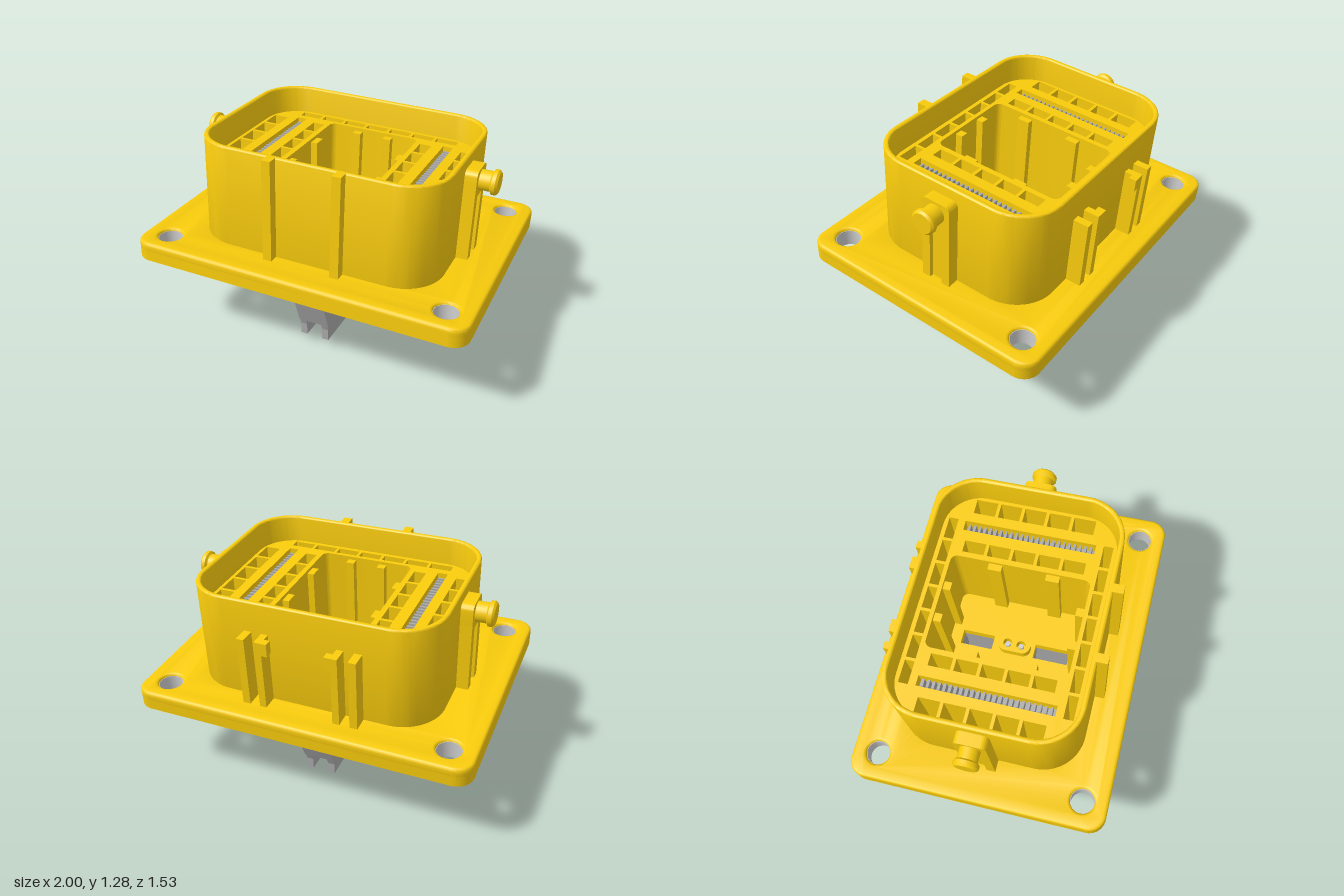
import * as THREE from 'three';
import { toCreasedNormals } from 'three/addons/utils/BufferGeometryUtils.js';

const yellow = new THREE.MeshStandardMaterial({ color: 0xf8cb0c });
const grey = new THREE.MeshStandardMaterial({ color: 0xaaaaaa });
const metal = new THREE.MeshStandardMaterial({ color: 0xcccccc });

// Rounded rectangle by half sizes, drawn in x and z
function rounded(w, d, r, Type = THREE.Shape) {
  const s = new Type();
  s.moveTo(w, -d + r);
  s.lineTo(w, d - r);
  s.absarc(w - r, d - r, r, 0, Math.PI / 2);
  s.lineTo(-w + r, d);
  s.absarc(-w + r, d - r, r, Math.PI / 2, Math.PI);
  s.lineTo(-w, -d + r);
  s.absarc(-w + r, -d + r, r, Math.PI, Math.PI * 1.5);
  s.lineTo(w - r, -d);
  s.absarc(w - r, -d + r, r, Math.PI * 1.5, Math.PI * 2);
  return s;
}
const hole = (w, d, r) => rounded(w, d, r, THREE.Path);

// Rectangular hole by centre and half sizes
function rectHole(x, z, w, d) {
  const pts = [[x - w, z - d], [x - w, z + d], [x + w, z + d], [x + w, z - d], [x - w, z - d]];
  return new THREE.Path(pts.map(p => new THREE.Vector2(...p)));
}
function roundHole(x, z, r) {
  return new THREE.Path().absarc(x, z, r, 0, Math.PI * 2, true);
}

export function createModel() {
  const model = new THREE.Group();
  // The whole unit leans back a little
  const body = new THREE.Group();
  body.name = 'leaningBody';
  body.rotation.x = -0.0736;
  body.position.z = 0.046;
  model.add(body);

  function add(name, geo, mat, x = 0, y = 0, z = 0) {
    const m = new THREE.Mesh(geo, mat);
    m.name = name;
    m.position.set(x, y, z);
    body.add(m);
    return m;
  }
  // Horizontal slab from an outline with holes
  function slab(name, shape, holes, y0, y1, mat, bevel = 0) {
    shape.holes.push(...holes);
    const g = new THREE.ExtrudeGeometry(shape, {
      depth: y1 - y0 - 2 * bevel, curveSegments: 12, bevelEnabled: bevel > 0,
      bevelThickness: bevel, bevelSize: bevel, bevelOffset: -bevel, bevelSegments: 3,
    });
    g.rotateX(Math.PI / 2);
    return add(name, toCreasedNormals(g, 0.6), mat, 0, y1 - bevel, 0);
  }
  const block = (name, x0, x1, y0, y1, z0, z1, mat) => add(name,
    new THREE.BoxGeometry(x1 - x0, y1 - y0, z1 - z0), mat, (x0 + x1) / 2, (y0 + y1) / 2, (z0 + z1) / 2);
  // Upright plate from a z-y outline, with thickness along x
  function plate(name, pts, x0, x1, mat) {
    const g = new THREE.ExtrudeGeometry(new THREE.Shape(pts.map(p => new THREE.Vector2(...p))),
      { depth: x1 - x0, bevelEnabled: false });
    g.rotateY(-Math.PI / 2);
    return add(name, g, mat, x1);
  }
  const cylinder = (name, r, h, mat, x, y, z) => add(name, new THREE.CylinderGeometry(r, r, h, 32), mat, x, y, z);

  const corners = [[1, 1], [1, -1], [-1, 1], [-1, -1]].map(([a, b]) => [a * 0.845, b * 0.612]);
  const boltHoles = corners.map(([x, z]) => roundHole(x, z, 0.07));

  // Mounting flange with a hollow underside
  slab('flangePlate', rounded(1, 0.762, 0.1), [hole(0.7, 0.517, 0.22), ...boltHoles], 0.57, 0.635, yellow, 0.018);
  slab('flangeRim', rounded(1, 0.762, 0.1), [hole(0.965, 0.728, 0.07)], 0.524, 0.61, yellow);
  slab('outerSealWall', rounded(0.88, 0.64, 0.33), [hole(0.845, 0.605, 0.31)], 0.524, 0.59, yellow);
  slab('seal', rounded(0.84, 0.6, 0.31), [hole(0.805, 0.565, 0.28)], 0.512, 0.585, grey);
  slab('innerSealWall', rounded(0.8, 0.56, 0.27), [hole(0.77, 0.535, 0.25)], 0.524, 0.59, yellow);
  for (const [x, z] of corners) {
    const ring = new THREE.Shape().absarc(x, z, 0.1, 0, Math.PI * 2);
    slab('boltBoss', ring, [roundHole(x, z, 0.08)], 0.524, 0.59, yellow);
    const bush = new THREE.Shape().absarc(x, z, 0.085, 0, Math.PI * 2);
    slab('boltBushing', bush, [roundHole(x, z, 0.068)], 0.518, 0.62, metal);
  }
  for (const s of [-1, 1]) {
    for (const x of [-0.6, -0.3, 0, 0.3, 0.6]) {
      block('flangeRib', x - 0.025, x + 0.025, 0.526, 0.59, s * 0.685 - 0.06, s * 0.685 + 0.06, yellow);
    }
    for (const z of [-0.37, 0, 0.37]) {
      block('flangeRib', s * 0.92 - 0.06, s * 0.92 + 0.06, 0.526, 0.59, z - 0.025, z + 0.025, yellow);
    }
  }

  // Open shell
  slab('shell', rounded(0.73, 0.55, 0.25), [hole(0.7, 0.52, 0.22)], 0.6, 1.242, yellow, 0.01);

  for (const s of [-1, 1]) {
    const span = (name, a, b, ...rest) => block(name, Math.min(s * a, s * b), Math.max(s * a, s * b), ...rest);
    // Front and back guide ribs
    span('frontRib', 0.178, 0.23, 0.61, 1.242, 0.53, 0.607, yellow);
    span('backOuterRib', 0.3, 0.345, 0.61, 1.058, -0.64, -0.53, yellow);
    span('backInnerRib', 0.2, 0.24, 0.61, 1.058, -0.64, -0.53, yellow);
    span('backRibHook', 0.165, 0.21, 0.98, 1.058, -0.64, -0.595, yellow);

    // Side pillar with locking pin
    for (const z of [-0.065, 0.065]) span('pillarRib', 0.71, 0.8, 0.61, 1.12, z - 0.026, z + 0.026, yellow);
    span('pillarWeb', 0.71, 0.775, 0.61, 1.04, -0.045, 0.045, yellow);
    const capGeo = new THREE.ExtrudeGeometry(rounded(0.091, 0.08, 0.035), { depth: 0.09, bevelEnabled: false });
    capGeo.rotateY(Math.PI / 2);
    add('pillarCap', toCreasedNormals(capGeo, 0.6), yellow, s > 0 ? 0.71 : -0.8, 1.098, 0);
    const pinProfile = [[0, 0.75], [0.058, 0.75], [0.058, 0.862], [0.072, 0.872], [0.072, 0.893], [0.06, 0.905], [0, 0.905]];
    const pin = new THREE.LatheGeometry(pinProfile.map(p => new THREE.Vector2(...p)), 32);
    add('lockingPin', toCreasedNormals(pin, 0.5), yellow, 0, 1.105, 0).rotation.z = -s * Math.PI / 2;
  }

  // Insert with a central well and rows of pockets between thin walls
  const pockets = [hole(0.29, 0.41, 0.04)];
  for (const s of [-1, 1]) {
    pockets.push(rectHole(s * 0.49, 0, 0.03, 0.39));
    for (let i = -2; i <= 2; i++) {
      pockets.push(rectHole(s * 0.625, i * 0.147, 0.045, 0.064));
      pockets.push(rectHole(s * 0.358, i * 0.147, 0.036, 0.064));
    }
    for (let i = -3; i <= 3; i++) pockets.push(rectHole(i * 0.152, s * 0.462, 0.067, 0.028));
  }
  slab('insert', rounded(0.69, 0.515, 0.215), pockets, 0.5, 1.08, yellow);

  // Central slots pass through the floor
  const slots = () => [rectHole(0, -0.24, 0.045, 0.1), rectHole(0, 0.23, 0.045, 0.107)];
  slab('wellFloor', rounded(0.3, 0.42, 0.04), slots(), 0.49, 0.545, yellow);
  slab('screwBoss', rounded(0.05, 0.1, 0.049), [roundHole(0, -0.042, 0.028), roundHole(0, 0.042, 0.028)], 0.54, 0.6, yellow);
  for (const z of [-0.042, 0.042]) cylinder('screw', 0.016, 0.05, metal, 0, 0.56, z);
  for (const s of [-1, 1]) {
    for (const z of [-0.15, 0.19]) block('wellGuide', s * 0.275 - 0.025, s * 0.275 + 0.025, 0.5, 1.06, z - 0.04, z + 0.04, yellow);
    for (const z of [-0.39, 0.39]) block('wellKey', s * 0.1 - 0.025, s * 0.1 + 0.025, 0.5, 1.06, z - 0.025, z + 0.025, yellow);
    // Contact strips
    block('contactStrip', s * 0.49 - 0.031, s * 0.49 + 0.031, 0.6, 1.0, -0.39, 0.39, grey);
    for (let i = 0; i < 24; i++) {
      const z = -0.362 + i * 0.0315;
      block('contact', s * 0.49 - 0.022, s * 0.49 + 0.022, 0.99, 1.06, z - 0.007, z + 0.007, grey);
    }
  }

  // Lower housing, hollow underneath
  slab('housing', rounded(0.725, 0.515, 0.21), [hole(0.53, 0.375, 0.03)], 0.327, 0.535, grey, 0.015);
  slab('housingFloor', rounded(0.6, 0.45, 0.05), slots(), 0.425, 0.49, grey);
  slab('recessFrame', rounded(0.5, 0.365, 0.05), [hole(0.475, 0.34, 0.04)], 0.312, 0.43, grey);
  for (const s of [-1, 1]) {
    block('yellowLip', s * 0.521 - 0.008, s * 0.521 + 0.008, 0.316, 0.43, -0.37, 0.37, yellow);
    cylinder('post', 0.058, 0.43, metal, s * 0.275, 0.218, 0);
  }

  // Keel: twin cheeks closed at both ends, joined by a core in the middle
  const cheek = [[0.488, 0.32], [0.488, 0.43], [-0.494, 0.43], [-0.494, 0.324], [-0.405, 0.107], [-0.405, 0.036], [0.403, 0.042], [0.408, 0.117]];
  for (const s of [-1, 1]) {
    plate('keelCheek', cheek, s * 0.07 - 0.02, s * 0.07 + 0.02, grey);
    block('keelPad', s * 0.0575 - 0.0375, s * 0.0575 + 0.0375, 0.025, 0.08, -0.07, 0.07, grey);
    block('keelPadSide', s * 0.09 - 0.01, s * 0.09 + 0.01, 0.03, 0.16, -0.07, 0.07, grey);
  }
  plate('keelFrontEnd', [[0.488, 0.32], [0.42, 0.15], [0.36, 0.15], [0.34, 0.43], [0.488, 0.43]], -0.095, 0.095, grey);
  plate('keelBackEnd', [[-0.494, 0.324], [-0.494, 0.43], [-0.34, 0.43], [-0.36, 0.15], [-0.423, 0.15]], -0.095, 0.095, grey);
  block('keelCore', -0.055, 0.055, 0.12, 0.5, -0.13, 0.11, grey);
  block('keelLatch', -0.03, 0.03, 0.085, 0.13, -0.1, 0.1, yellow);

  return model;
}
